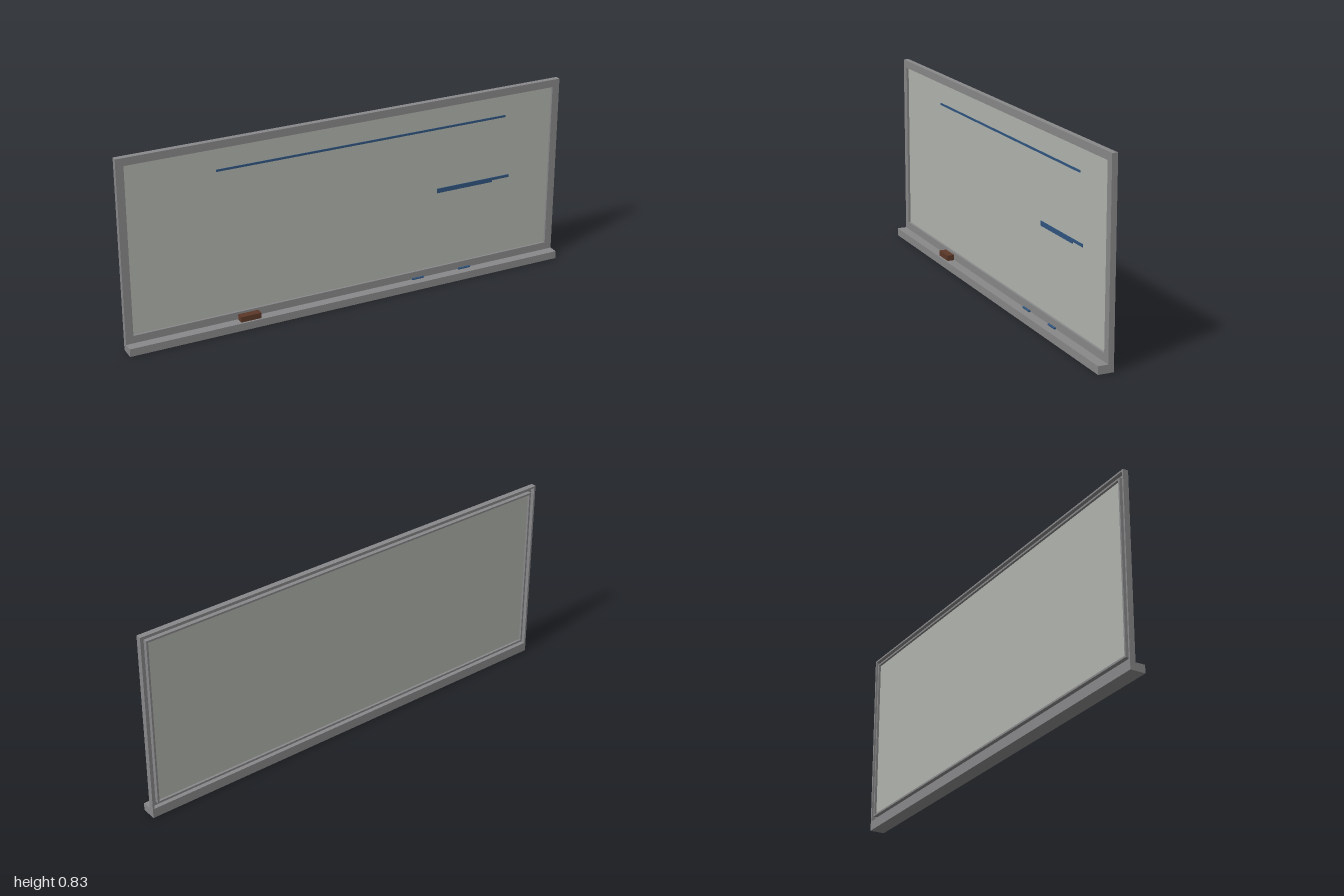
import * as THREE from 'three';

const mat = (name, color) => {
  const m = new THREE.MeshStandardMaterial({ color });
  m.name = name;
  return m;
};

export function createModel() {
  const group = new THREE.Group();
  const frameGrey = mat('frame grey', 0x88888a);
  const boardGrey = mat('board grey', 0xb0b3ad);
  const inkBlue = mat('ink blue', 0x2f5580);
  const brown = mat('eraser brown', 0x5c3828);

  const add = (name, geometry, material) => {
    const mesh = new THREE.Mesh(geometry, material);
    mesh.name = name;
    group.add(mesh);
    return mesh;
  };
  // box given by its low and high corners
  const box = (name, material, x0, x1, y0, y1, z0, z1) =>
    add(name, new THREE.BoxGeometry(x1 - x0, y1 - y0, z1 - z0), material)
      .position.set((x0 + x1) / 2, (y0 + y1) / 2, (z0 + z1) / 2);

  const rect = (path, inset) => {
    const x = 1 - inset, y0 = 0.034 + inset, y1 = 0.833 - inset;
    path.moveTo(-x, y0).lineTo(x, y0).lineTo(x, y1).lineTo(-x, y1).closePath();
    return path;
  };
  // rectangular ring between two insets from the outer edge
  const ring = (name, outer, inner, z0, z1) => {
    const shape = rect(new THREE.Shape(), outer);
    shape.holes.push(rect(new THREE.Path(), inner));
    const g = new THREE.ExtrudeGeometry(shape, { depth: z1 - z0, bevelEnabled: false });
    add(name, g.translate(0, 0, z0), frameGrey);
  };

  // frame: channel section, open at the back
  ring('frameFront', 0, 0.033, -0.015, -0.009);
  ring('frameOuterFlange', 0, 0.008, -0.033, -0.015);
  ring('frameInnerFlange', 0.025, 0.033, -0.033, -0.015);

  // writing surface and tray
  box('board', boardGrey, -0.97, 0.97, 0.064, 0.803, -0.023, -0.019);
  box('tray', frameGrey, -1, 1, 0, 0.034, -0.033, 0.033);

  // written lines
  box('topLine', inkBlue, -0.585, 0.74, 0.7, 0.709, -0.019, -0.016);
  box('shortLineUpper', inkBlue, 0.415, 0.768, 0.419, 0.431, -0.019, -0.016);
  box('shortLineLower', inkBlue, 0.415, 0.685, 0.411, 0.419, -0.019, -0.016);

  // eraser and pens on the tray
  box('eraser', brown, -0.515, -0.425, 0.034, 0.058, -0.007, 0.024);
  for (const x of [0.321, 0.549]) {
    const pen = add('pen', new THREE.CylinderGeometry(0.0045, 0.0045, 0.056, 8), inkBlue);
    pen.rotation.z = Math.PI / 2;
    pen.position.set(x, 0.0385, -0.002);
  }
  return group;
}
